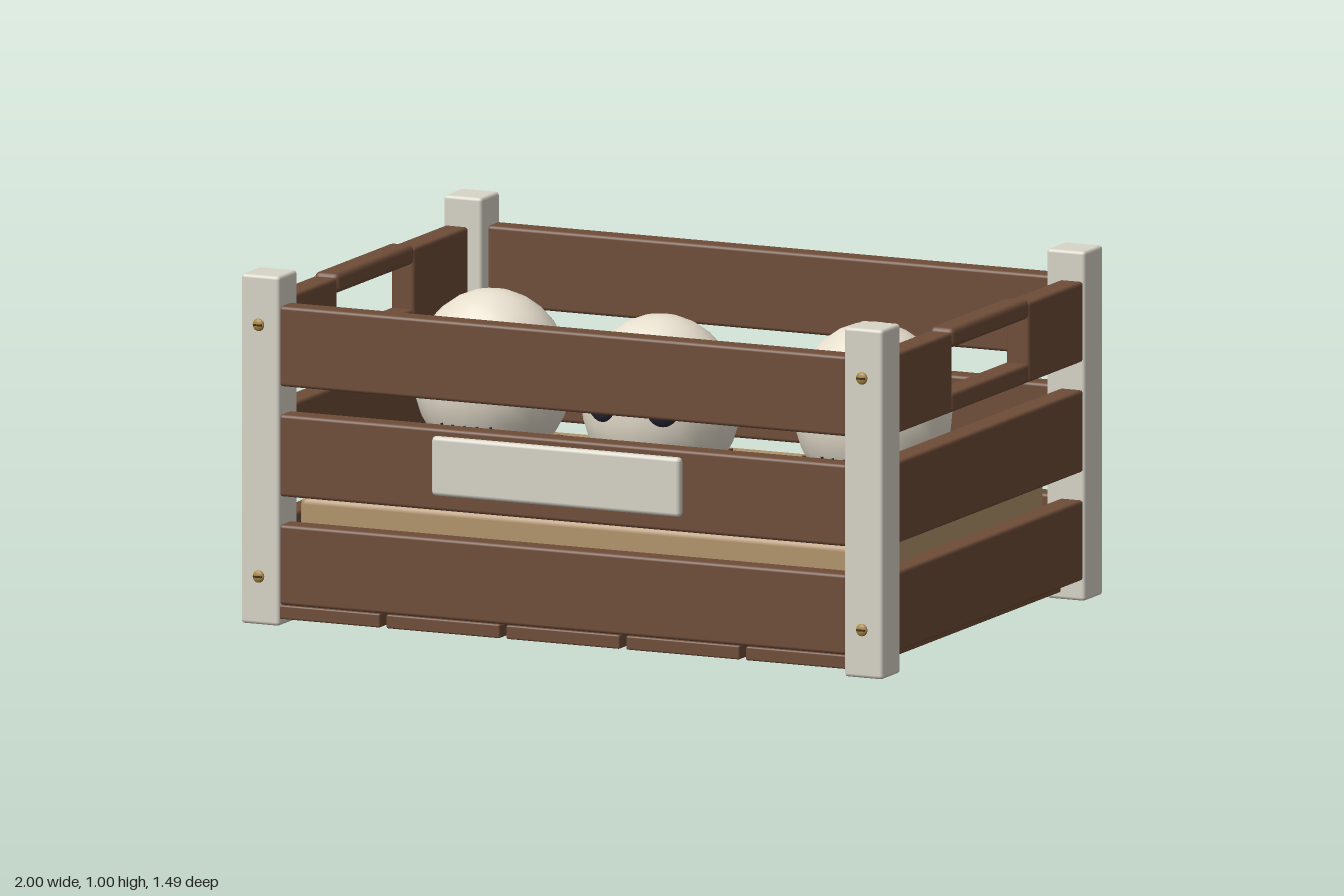
import * as THREE from 'three';
import { RoundedBoxGeometry } from 'three/addons/geometries/RoundedBoxGeometry.js';

const mat = (color) => new THREE.MeshStandardMaterial({ color });
const wood = mat(0x6e4c38), paint = mat(0xd8d4c8), straw = mat(0xb2946c), wisp = mat(0x4a3a2c);
const bone = mat(0xe6decd), dark = mat(0x2c2838), brass = mat(0xa8853f), slotMat = mat(0x3a2e1c);

// centre of the crate frame along z
const CZ = -0.012;

// top-side positions (x, z) of loose straw pieces
const WISPS = [
  -0.61, -0.5, -0.61, -0.45, -0.4, -0.53, -0.27, -0.49, -0.09, -0.52, 0.2, -0.52, -0.72, -0.34,
  -0.42, -0.37, -0.21, -0.37, 0.02, -0.33, 0.35, -0.37, 0.53, -0.53, 0.66, -0.46, 0.5, -0.34,
  0.75, -0.36, 0.73, -0.29, -0.45, -0.2, -0.17, -0.2, 0.21, -0.25, -0.29, -0.12, -0.18, -0.04,
  0.26, 0.03, 0.28, -0.07, 0.42, 0.05, 0.27, 0.11, 0.81, -0.03, 0.83, 0.03, -0.74, 0.24,
  -0.49, 0.25, -0.62, 0.3, -0.39, 0.13, -0.21, 0.12, 0.27, 0.21, 0.44, 0.2, 0.42, 0.27,
  0.54, 0.13, 0.54, 0.3, 0.62, 0.36, 0.67, 0.3, 0.78, 0.385, 0.17, 0.43, -0.73, 0.455,
  -0.42, 0.465, -0.33, 0.48, -0.04, 0.495, 0.1, 0.51, 0.64, 0.48,
];

// rounded box given by its min/max limits on each axis
function block(parent, name, material, [x0, x1], [y0, y1], [z0, z1], radius = 0.01) {
  const geo = new RoundedBoxGeometry(x1 - x0, y1 - y0, z1 - z0, 2, radius);
  const mesh = new THREE.Mesh(geo, material);
  mesh.position.set((x0 + x1) / 2, (y0 + y1) / 2, (z0 + z1) / 2);
  mesh.name = name;
  parent.add(mesh);
  return mesh;
}

function plain(parent, name, geo, material, x, y, z) {
  const mesh = new THREE.Mesh(geo, material);
  mesh.position.set(x, y, z);
  mesh.name = name;
  parent.add(mesh);
  return mesh;
}

// slotted screw head facing +z
function makeScrew() {
  const screw = new THREE.Group();
  screw.name = 'screw';
  const head = plain(screw, 'screwHead', new THREE.SphereGeometry(0.018, 16, 8), brass, 0, 0, 0.006);
  head.scale.z = 0.45;
  plain(screw, 'screwShank', new THREE.CylinderGeometry(0.008, 0.008, 0.012, 10), brass, 0, 0, 0).rotation.x = Math.PI / 2;
  plain(screw, 'screwSlot', new THREE.BoxGeometry(0.026, 0.005, 0.004), slotMat, 0, 0, 0.0135);
  return screw;
}

// egg-shaped skull with sunken-looking eyes and a stitched mouth
function makeSkull() {
  const skull = new THREE.Group();
  skull.name = 'skull';
  const [rx, ry, rz] = [0.23, 0.25, 0.205];
  plain(skull, 'cranium', new THREE.SphereGeometry(1, 20, 14), bone, 0, 0, 0).scale.set(rx, ry, rz);
  const surfaceZ = (x, y) => rz * Math.sqrt(1 - (x / rx) ** 2 - (y / ry) ** 2);
  for (const side of [-1, 1]) {
    const eye = plain(skull, 'eye', new THREE.SphereGeometry(1, 18, 12), dark, side * 0.095, 0.03, 0.187);
    eye.scale.set(0.052, 0.064, 0.025);
    eye.rotation.y = side * 0.3;
  }
  const line = [];
  for (let i = -4; i <= 4; i++) {
    const x = i * 0.023;
    line.push(new THREE.Vector3(x, -0.135, surfaceZ(x, -0.135)));
  }
  const curve = new THREE.CatmullRomCurve3(line);
  plain(skull, 'mouth', new THREE.TubeGeometry(curve, 16, 0.004, 5), dark, 0, 0, 0);
  for (let i = -2; i <= 2; i++) {
    const x = i * 0.038;
    const ends = [-0.11, -0.135, -0.16].map((y) => new THREE.Vector3(x, y, surfaceZ(x, y)));
    plain(skull, 'stitch', new THREE.TubeGeometry(new THREE.CatmullRomCurve3(ends), 4, 0.004, 5), dark, 0, 0, 0);
  }
  return skull;
}

export function createModel() {
  const crate = new THREE.Group();
  crate.name = 'crate';

  const rows = [[0.06, 0.29], [0.37, 0.605], [0.685, 0.915]];
  const sideZ = [-0.615, 0.588];

  for (const s of [-1, 1]) {
    const zRange = (a, b) => (s > 0 ? [CZ + a, CZ + b] : [CZ - b, CZ - a]);
    const xRange = (a, b) => (s > 0 ? [a, b] : [-b, -a]);

    // long slats, front and back
    for (const y of rows) block(crate, 'longSlat', wood, [-0.885, 0.885], y, zRange(0.642, 0.712));

    // short slats on the two ends
    const x = xRange(0.922, 0.995);
    for (const y of rows.slice(0, 2)) block(crate, 'endSlat', wood, x, y, sideZ);

    // top end slat with a hand hole
    block(crate, 'handleCheek', wood, x, rows[2], [0.24, sideZ[1]]);
    block(crate, 'handleCheek', wood, x, rows[2], [sideZ[0], -0.26]);
    block(crate, 'handleSill', wood, x, [0.685, 0.74], [-0.262, 0.242]);
    block(crate, 'handleGrip', wood, xRange(0.92, 0.997), [0.868, 0.925], [-0.262, 0.24], 0.016);

    // corner posts with screws
    for (const t of [-1, 1]) {
      const z = t > 0 ? [0.587, 0.707] : [-0.731, -0.611];
      block(crate, 'cornerPost', paint, xRange(0.88, 1), [0, 1], z);
      for (const y of [0.14, 0.86]) {
        const screw = makeScrew();
        screw.position.set(s * 0.94, y, t > 0 ? 0.711 : -0.735);
        if (t < 0) screw.rotation.y = Math.PI;
        crate.add(screw);
      }
    }
  }

  // floor planks
  for (let i = -2; i <= 2; i++) {
    const x = i * 0.3735;
    block(crate, 'floorPlank', wood, [x - 0.177, x + 0.177], [0.02, 0.06], [-0.725, 0.7], 0.005);
  }

  // blank name plate
  block(crate, 'plate', paint, [-0.39, 0.385], [0.42, 0.59], [0.716, 0.744], 0.012);

  // straw bed with loose pieces on top
  block(crate, 'strawBed', straw, [-0.88, 0.875], [0.06, 0.355], [-0.615, 0.583], 0.025);
  const wispGeo = new THREE.BoxGeometry(0.085, 0.008, 0.008);
  for (let i = 0; i < WISPS.length; i += 2) {
    const piece = plain(crate, 'strawPiece', wispGeo, wisp, WISPS[i], 0.362, WISPS[i + 1]);
    piece.rotation.set(0, -0.31, 0.08);
  }

  // three skulls, the middle one set forward
  for (const [x, z] of [[-0.595, -0.085], [0, 0.06], [0.59, -0.085]]) {
    const skull = makeSkull();
    skull.position.set(x, 0.605, z);
    crate.add(skull);
  }
  return crate;
}
